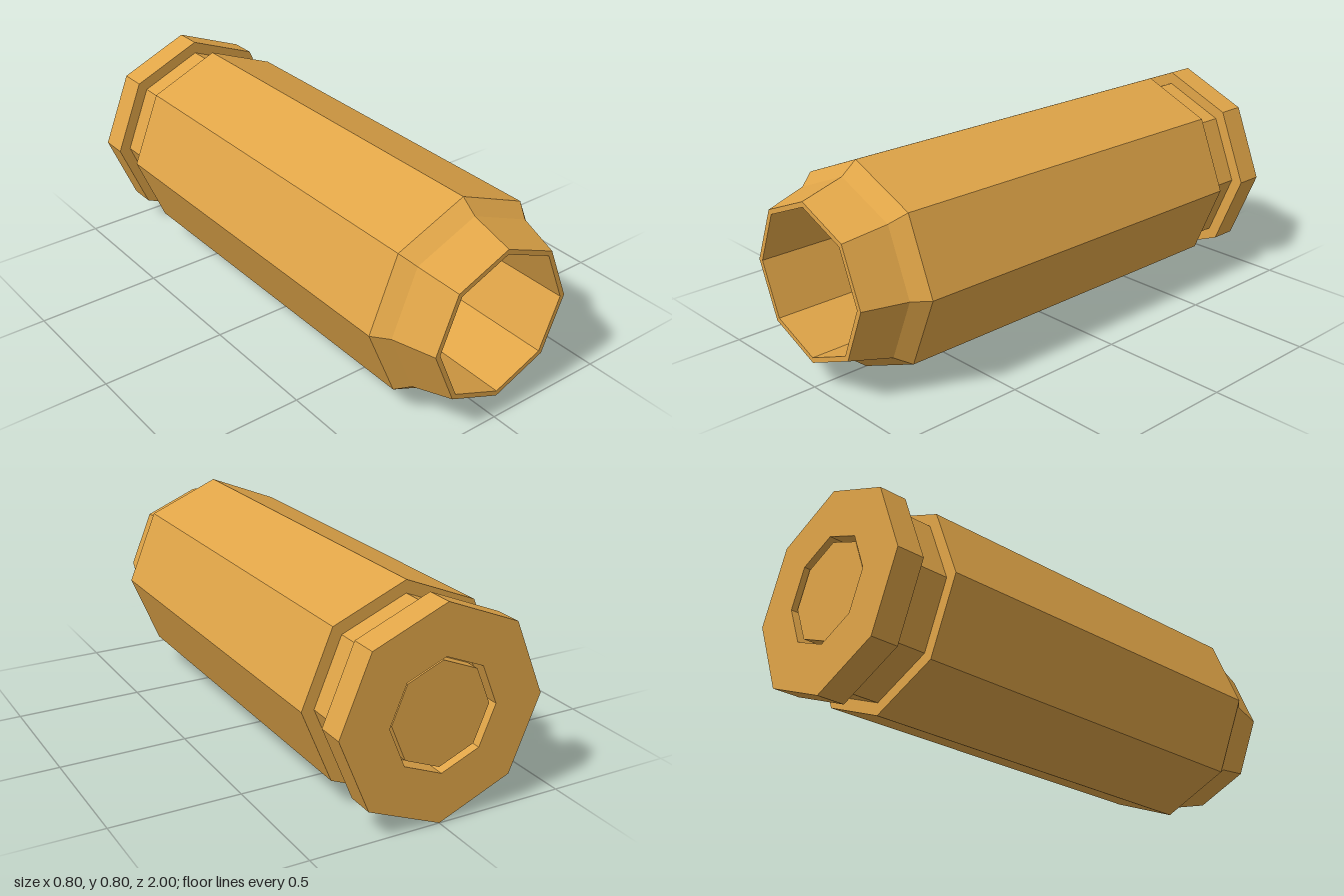
import * as THREE from 'three';

// Eight-sided turned part along z, from [radius, z] pairs running up the outside
function turned(name, profile, material) {
  const points = profile.map(([r, z]) => new THREE.Vector2(r, z));
  const geometry = new THREE.LatheGeometry(points, 8);
  geometry.rotateX(Math.PI / 2);
  const mesh = new THREE.Mesh(geometry, material);
  mesh.name = name;
  return mesh;
}

export function createModel() {
  const brass = new THREE.MeshStandardMaterial({ color: 0xe0a548, flatShading: true });
  const model = new THREE.Group();
  model.name = 'cartridgeCase';

  model.add(turned('casing', [
    [0, -0.93], [0.21, -0.93], [0.21, -1],                   // primer pocket
    [0.398, -1], [0.398, -0.893],                            // rim
    [0.35, -0.893], [0.35, -0.755],                          // extractor groove
    [0.398, -0.755], [0.398, 0.775], [0.35, 0.835], [0.302, 1], // body, shoulder and neck
    [0.282, 1], [0.282, -0.7], [0, -0.7],                    // open mouth and hollow inside
  ], brass));

  // Primer, set slightly below the rear face
  model.add(turned('primer', [[0, -0.985], [0.193, -0.985], [0.193, -0.93]], brass));

  for (const part of model.children) part.position.y = 0.398;
  return model;
}
